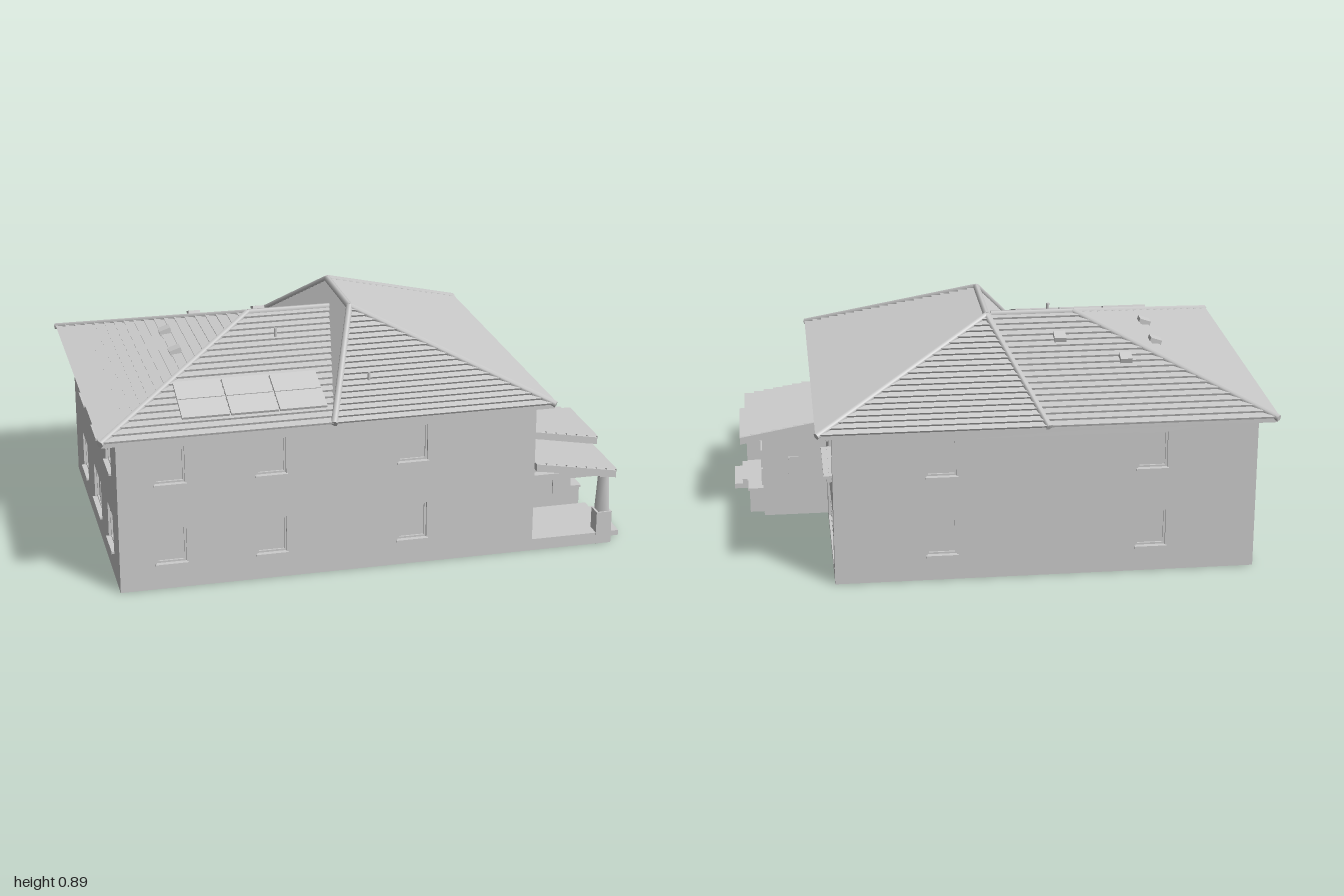
import * as THREE from 'three';

export function createModel() {
  const model = new THREE.Group();
  model.name = 'house';
  const mat = new THREE.MeshStandardMaterial({ color: 0xcccccc, side: THREE.DoubleSide });
  mat.name = 'plain grey';
  const V = (x, y, z) => new THREE.Vector3(x, y, z);

  const add = (name, geo, parent = model) => {
    const m = new THREE.Mesh(geo, mat);
    m.name = name;
    parent.add(m);
    return m;
  };
  // Box given by its lower and upper corners
  const box = (name, x0, x1, y0, y1, z0, z1, parent = model) => {
    const m = add(name, new THREE.BoxGeometry(x1 - x0, y1 - y0, z1 - z0), parent);
    m.position.set((x0 + x1) / 2, (y0 + y1) / 2, (z0 + z1) / 2);
    return m;
  };
  const rect = (Type, x0, x1, y0, y1) => {
    const p = new Type();
    p.moveTo(x0, y0); p.lineTo(x1, y0); p.lineTo(x1, y1); p.lineTo(x0, y1); p.closePath();
    return p;
  };

  // Wall with recessed openings: [u0, u1, y0, y1, columns, rows, sill]
  const T = 0.025;
  const wall = (name, u0, u1, x, z, rotY, openings) => {
    const g = new THREE.Group();
    g.name = name;
    const shape = rect(THREE.Shape, u0, u1, 0, 0.6);
    for (const [a, b, c, d, cols, rows, sill] of openings) {
      shape.holes.push(rect(THREE.Path, a, b, c, d));
      box('pane', a, b, c, d, -0.022, -0.016, g);
      const f = 0.007;
      for (let i = 0; i <= cols; i++) {
        const u = a + f / 2 + (b - a - f) * i / cols;
        box('frameBar', u - f / 2, u + f / 2, c, d, -0.018, -0.009, g);
      }
      for (let i = 0; i <= rows; i++) {
        const v = c + f / 2 + (d - c - f) * i / rows;
        box('frameRail', a, b, v - f / 2, v + f / 2, -0.018, -0.009, g);
      }
      if (sill) box('sill', a - 0.005, b + 0.005, c - 0.008, c, -0.018, 0.01, g);
    }
    const geo = new THREE.ExtrudeGeometry(shape, { depth: T, bevelEnabled: false });
    geo.translate(0, 0, -T);
    add('wallPanel', geo, g);
    g.position.set(x, 0, z);
    g.rotation.y = rotY;
    model.add(g);
  };
  // Upper and lower windows at each centre
  const pairs = (centres, w) => centres.flatMap(u =>
    [0.1, 0.41].map(y => [u - w / 2, u + w / 2, y, y + 0.14, 1, 1, true]));

  wall('frontWall', -0.93, 0.63, 0, 0.605, 0, pairs([-0.74, -0.37, 0.16], 0.11));
  wall('backWall', -0.63, 0.93, 0, -0.605, Math.PI, pairs([-0.235, 0.54], 0.11));
  wall('leftWall', -0.605, 0.605, -0.93, 0, -Math.PI / 2, [
    ...pairs([-0.32, 0.39], 0.14),
    [-0.03, 0.11, 0.41, 0.55, 1, 1, true],
    [-0.06, 0.14, 0.1, 0.24, 2, 1, true],
  ]);
  wall('rightWall', -0.605, 0.605, 0.63, 0, Math.PI / 2, [
    [-0.25, -0.005, 0.41, 0.55, 2, 1, true],
    [0.08, 0.185, 0.41, 0.55, 1, 1, true],
    [0.265, 0.55, 0.41, 0.55, 2, 1, true],
    [0.02, 0.53, 0.025, 0.25, 6, 4, false],
    [-0.5, -0.37, 0.048, 0.275, 1, 1, false],
    [-0.36, -0.325, 0.048, 0.24, 1, 1, false],
  ]);
  box('windowShelf', 0.63, 0.66, 0.4, 0.408, -0.555, -0.26);
  for (const z of [-0.29, -0.525]) box('shelfBracket', 0.63, 0.65, 0.375, 0.4, z - 0.005, z + 0.005);

  // Sloping face a-b-c-d (a, b along the eave) laid in stepped tile courses
  const roofFace = (name, a, b, c, d, n, h = 0.008) => {
    const up = b.clone().sub(a).cross(d.clone().sub(a)).normalize().multiplyScalar(h);
    const pos = [];
    const quad = (p, q, r, s) => [p, q, r, p, r, s].forEach(v => pos.push(v.x, v.y, v.z));
    for (let i = 0; i < n; i++) {
      const L = a.clone().lerp(d, i / n), R = b.clone().lerp(c, i / n);
      const L1 = a.clone().lerp(d, (i + 1) / n), R1 = b.clone().lerp(c, (i + 1) / n);
      const Lh = L.clone().add(up), Rh = R.clone().add(up);
      quad(Lh, Rh, R1, L1);
      quad(L, R, Rh, Lh);
    }
    // Smooth underside
    quad(b, a, d, c);
    const geo = new THREE.BufferGeometry();
    geo.setAttribute('position', new THREE.Float32BufferAttribute(pos, 3));
    geo.computeVertexNormals();
    add(name, geo);
  };
  const bar = (name, p, q, r, sides = 6) => {
    const m = add(name, new THREE.CylinderGeometry(r, r, p.distanceTo(q), sides));
    m.position.copy(p).lerp(q, 0.5);
    m.quaternion.setFromUnitVectors(V(0, 1, 0), q.clone().sub(p).normalize());
  };

  // Main roof: a tall hip on the right, a lower hip running into it
  const E = 0.605, Z = 0.66;
  const eR = s => V(0.685, E, s * Z), eM = s => V(-0.15, E, s * Z), eL = s => V(-0.99, E, s * Z);
  const top = s => V(0.025, 0.88, s * 0.18), lowA = V(-0.33, 0.825, 0), lowB = V(-0.01, 0.825, 0);
  roofFace('tallRoofRight', eR(1), eR(-1), top(-1), top(1), 20);
  roofFace('tallRoofFront', eM(1), eR(1), top(1), top(1), 20);
  roofFace('tallRoofBack', eR(-1), eM(-1), top(-1), top(-1), 20);
  roofFace('tallRoofLeft', eM(-1), eM(1), top(1), top(-1), 20, 0.003);
  roofFace('lowRoofFront', eL(1), eM(1), lowB, lowA, 19);
  roofFace('lowRoofBack', eM(-1), eL(-1), lowA, lowB, 19);
  roofFace('lowRoofLeft', eL(-1), eL(1), lowA, lowA, 19);
  for (const s of [1, -1]) {
    bar('hipCap', eR(s), top(s), 0.013);
    bar('hipCap', eM(s), top(s), 0.013);
    bar('hipCap', eL(s), lowA, 0.013);
  }
  bar('tallRidgeCap', top(1), top(-1), 0.013);
  bar('lowRidgeCap', lowA, lowB, 0.013);

  // Eaves with an open middle
  const eave = rect(THREE.Shape, -0.985, 0.68, -0.655, 0.655);
  eave.holes.push(rect(THREE.Path, -0.915, 0.615, -0.59, 0.59));
  const eaveGeo = new THREE.ExtrudeGeometry(eave, { depth: 0.018, bevelEnabled: false });
  eaveGeo.rotateX(-Math.PI / 2);
  add('eaves', eaveGeo).position.y = 0.588;

  // Solar panels on the low front slope
  const slope = 0.22 / 0.66, tilt = Math.atan(slope);
  const frontY = z => E + (Z - z) * slope;
  for (let i = 0; i < 3; i++) for (let j = 0; j < 2; j++) {
    const z = 0.44 + j * 0.099;
    const p = add('solarPanel', new THREE.BoxGeometry(0.173, 0.009, 0.101));
    p.position.set(-0.6 + i * 0.178, frontY(z) + 0.017, z);
    p.rotation.x = tilt;
  }
  // Roof vents and pipes
  for (const [x, z] of [[-0.63, -0.12], [-0.63, 0.115]]) {
    const v = add('roofVent', new THREE.BoxGeometry(0.045, 0.022, 0.045));
    v.position.set(x, E + (x + 0.99) / 3 + 0.012, z);
    v.rotation.z = tilt;
  }
  for (const [x, z] of [[-0.485, -0.305], [-0.255, -0.17]]) {
    const v = add('roofVent', new THREE.BoxGeometry(0.045, 0.022, 0.045));
    v.position.set(x, frontY(-z) + 0.012, z);
    v.rotation.x = -tilt;
  }
  bar('ventPipe', V(-0.255, 0.75, 0.16), V(-0.255, 0.81, 0.16), 0.006, 8);
  bar('ventPipe', V(0.02, 0.67, 0.495), V(0.02, 0.73, 0.495), 0.006, 8);

  // Side profile in x and y, extruded along z
  const prism = (name, pts, z0, z1) => {
    const geo = new THREE.ExtrudeGeometry(new THREE.Shape(pts.map(p => new THREE.Vector2(...p))),
      { depth: z1 - z0, bevelEnabled: false });
    geo.translate(0, 0, z0);
    add(name, geo);
  };
  // Porch roofs
  const leanTo = (name, x1, yTop, yEnd, z0, z1) => {
    prism(name, [[0.63, yTop - 0.028], [x1, yEnd - 0.028], [x1, yEnd], [0.63, yTop]], z0, z1);
    roofFace(name + 'Tiles', V(x1, yEnd, z1), V(x1, yEnd, z0), V(0.63, yTop, z0), V(0.63, yTop, z1), 8, 0.007);
  };
  leanTo('entryRoof', 0.945, 0.36, 0.305, 0.35, 0.63);
  leanTo('bayRoof', 0.965, 0.395, 0.335, 0.055, 0.37);

  // Enclosed bay with windows and planter
  prism('bayRoom', [[0.63, 0], [0.88, 0], [0.88, 0.325], [0.63, 0.37]], 0.065, 0.325);
  const bayWindow = (x0, x1, y0, y1, z0, z1) => box('bayWindow', x0, x1, y0, y1, z0, z1);
  bayWindow(0.88, 0.887, 0.1, 0.172, 0.13, 0.25);
  bayWindow(0.88, 0.887, 0.177, 0.25, 0.13, 0.25);
  for (const x of [0.705, 0.805]) bayWindow(x, x + 0.038, 0.1, 0.245, 0.325, 0.332);
  bayWindow(0.74, 0.78, 0.1, 0.245, 0.058, 0.065);
  box('planter', 0.88, 0.935, 0, 0.095, 0.105, 0.275);
  box('planterRim', 0.88, 0.94, 0.092, 0.102, 0.1, 0.28);

  // Porch floor, steps, beams and tapered column
  box('porchFloor', 0.63, 0.945, 0, 0.045, 0.325, 0.605);
  box('upperStep', 0.945, 0.965, 0, 0.04, 0.355, 0.55);
  box('lowerStep', 0.945, 0.998, 0, 0.02, 0.355, 0.55);
  box('porchFrontBeam', 0.9, 0.93, 0.28, 0.3, 0.325, 0.61);
  box('porchSideBeam', 0.63, 0.93, 0.28, 0.305, 0.575, 0.605);
  box('columnBase', 0.885, 0.945, 0, 0.128, 0.548, 0.606);
  const col = new THREE.CylinderGeometry(0.021, 0.031, 0.16, 4, 1);
  col.rotateY(Math.PI / 4);
  add('column', col.toNonIndexed()).position.set(0.915, 0.205, 0.578);
  box('columnCap', 0.893, 0.937, 0.27, 0.283, 0.556, 0.6);
  bar('doorHandle', V(0.628, 0.14, 0.39), V(0.628, 0.16, 0.39), 0.004);
  return model;
}
